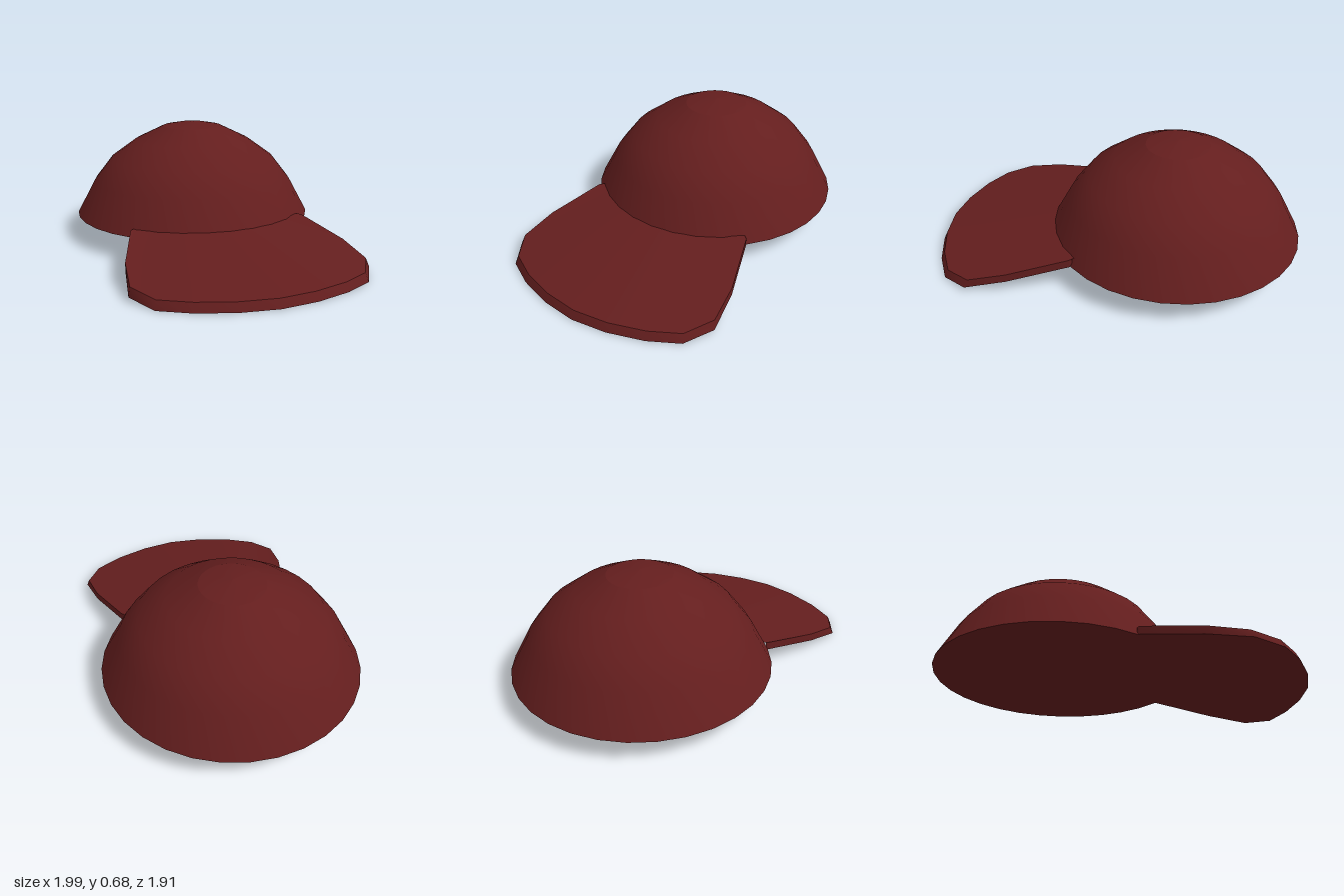
import * as THREE from 'three';

const SEGMENTS = 32;
const BASE_Y = 0.13;
const THICKNESS = 0.045;
const BRIM_AXIS = 39.8; // degrees from +x towards +z

// Half outline of the brim: [degrees off its axis, radius, underside height]
const HALF_BRIM = [
  [45, 0.7, 0.13], [45, 0.723, 0.13], [36.2, 1.035, 0.065], [31.3, 1.243, 0.02],
  [24.7, 1.33, 0], [17, 1.352, 0], [8.4, 1.367, 0],
];

const polar = (deg, r, y) => {
  const a = THREE.MathUtils.degToRad(BRIM_AXIS + deg);
  return [r * Math.cos(a), y, r * Math.sin(a)];
};

// Surface between two rows of points, smooth along the row
function strip(rowA, rowB) {
  const n = rowA.length;
  const index = [];
  for (let i = 0; i < n - 1; i++) {
    index.push(i, i + 1, n + i, i + 1, n + i + 1, n + i);
  }
  const geometry = new THREE.BufferGeometry();
  geometry.setAttribute('position', new THREE.Float32BufferAttribute([...rowA, ...rowB].flat(), 3));
  geometry.setIndex(index);
  geometry.computeVertexNormals();
  return geometry;
}

function lathe(profile) {
  const points = profile.map(([r, y]) => new THREE.Vector2(r, y));
  return new THREE.LatheGeometry(points, SEGMENTS, Math.PI / SEGMENTS);
}

export function createModel() {
  const cap = new THREE.Group();
  cap.name = 'cap';
  const cloth = new THREE.MeshStandardMaterial({ color: 0x641e1e });
  const add = (parent, name, geometry) => {
    const mesh = new THREE.Mesh(geometry, cloth);
    mesh.name = name;
    parent.add(mesh);
    return mesh;
  };

  // Domed crown with a shallow top panel and a closed base
  const crown = new THREE.Group();
  crown.name = 'crown';
  add(crown, 'crownDome', lathe([[0.713, BASE_Y], [0.605, 0.33], [0.5, 0.465], [0.35, 0.573], [0.178, 0.656]]));
  add(crown, 'crownTop', lathe([[0.178, 0.656], [0.09, 0.673], [0, 0.68]]));
  const base = new THREE.CircleGeometry(0.713, SEGMENTS, Math.PI / SEGMENTS);
  base.rotateX(Math.PI / 2);
  add(crown, 'crownBase', base).position.y = BASE_Y;

  // Curved brim, mirrored about its axis, with a bevelled front edge
  const outline = [
    ...HALF_BRIM.map(([d, r, y]) => [-d, r, y]),
    [0, 1.376, 0],
    ...[...HALF_BRIM].reverse(),
  ];
  const innerTop = outline.map(([d]) => polar(d, 0.67, BASE_Y + THICKNESS));
  const innerBottom = outline.map(([d]) => polar(d, 0.7, BASE_Y));
  const outerTop = outline.map(([d, r, y]) => polar(d, Math.abs(d) < 33 ? r - 0.022 : r, y + THICKNESS));
  const outerBottom = outline.map(([d, r, y]) => polar(d, r, y));
  const brim = new THREE.Group();
  brim.name = 'brim';
  add(brim, 'brimTop', strip(innerTop, outerTop));
  add(brim, 'brimEdge', strip(outerTop, outerBottom));
  add(brim, 'brimUnderside', strip(outerBottom, innerBottom));

  // Crown and brim share the crown's centre
  for (const part of [crown, brim]) {
    part.position.set(-0.29, 0, -0.245);
    cap.add(part);
  }
  return cap;
}
